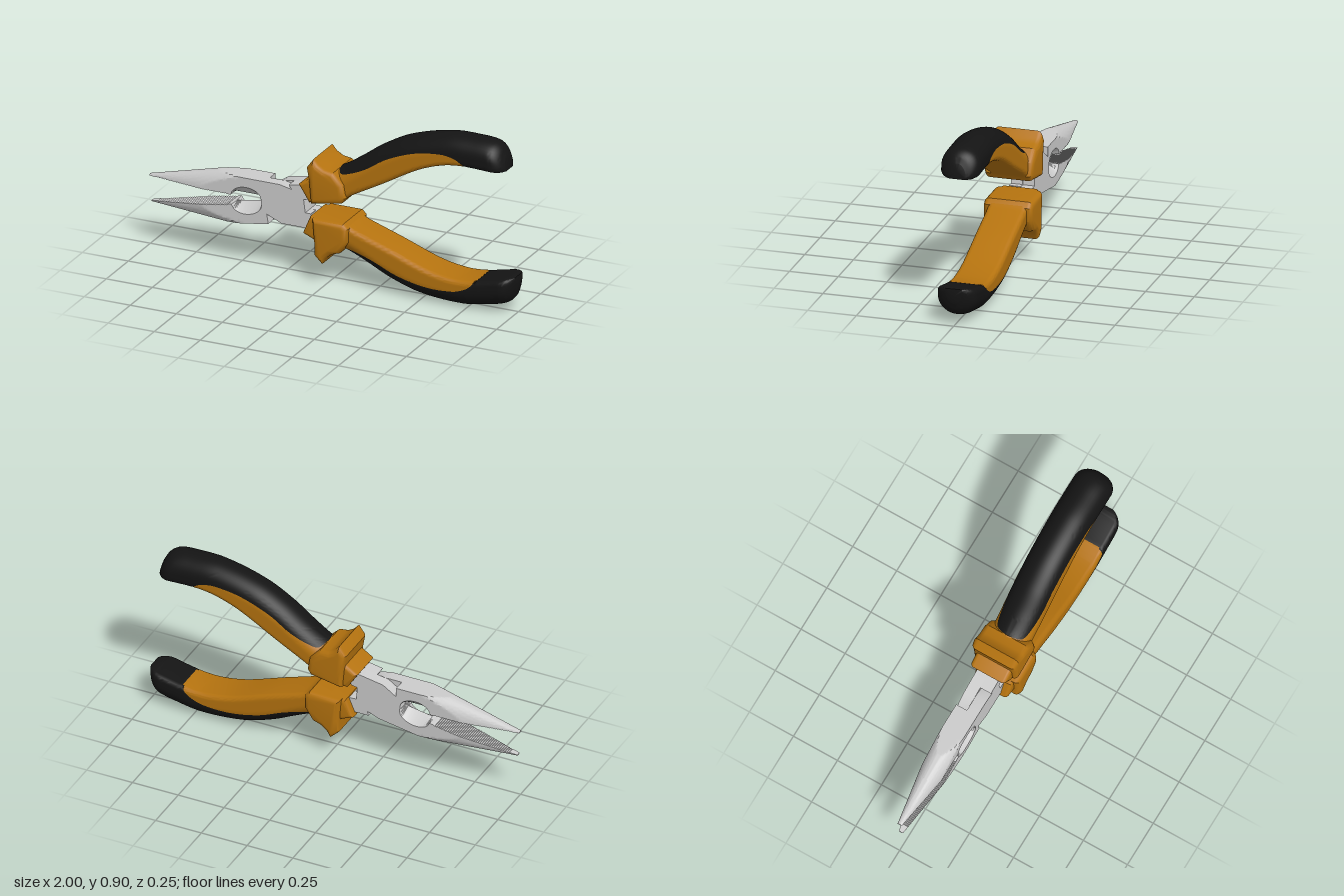
import * as THREE from 'three';
import { toCreasedNormals } from 'three/addons/utils/BufferGeometryUtils.js';

const steel = new THREE.MeshStandardMaterial({ color: 0xcccccc });
const amber = new THREE.MeshStandardMaterial({ color: 0xb5730f });
const black = new THREE.MeshStandardMaterial({ color: 0x141414 });

const AXIS = 0.368;   // closing line of the jaws
const PIVOT = -0.25;
const OPENING = THREE.MathUtils.degToRad(10);

// smooth y(x) through a few points
function spline(p) {
  const slope = i => {
    const a = p[Math.max(0, i - 1)], b = p[Math.min(p.length - 1, i + 1)];
    return (b[1] - a[1]) / (b[0] - a[0]);
  };
  return x => {
    if (x <= p[0][0]) return p[0][1];
    let i = 0;
    while (i < p.length - 1 && p[i + 1][0] < x) i++;
    if (i === p.length - 1) return p[i][1];
    const h = p[i + 1][0] - p[i][0], t = (x - p[i][0]) / h, t2 = t * t, t3 = t2 * t;
    return (2 * t3 - 3 * t2 + 1) * p[i][1] + (t3 - 2 * t2 + t) * h * slope(i)
      + (3 * t2 - 2 * t3) * p[i + 1][1] + (t3 - t2) * h * slope(i + 1);
  };
}

// skin over equal-length loops of [x, y, z], with both ends closed
function loft(loops, crease) {
  const n = loops[0].length, pos = loops.flat(2), index = [];
  for (let i = 0; i < loops.length - 1; i++) {
    for (let j = 0; j < n; j++) {
      const a = i * n + j, b = i * n + (j + 1) % n;
      index.push(a, b, a + n, b, b + n, a + n);
    }
  }
  [0, loops.length - 1].forEach((row, end) => {
    const c = pos.length / 3;
    for (let k = 0; k < 3; k++) pos.push(loops[row].reduce((s, p) => s + p[k], 0) / n);
    for (let j = 0; j < n; j++) {
      const a = row * n + j, b = row * n + (j + 1) % n;
      if (end) index.push(c, a, b); else index.push(c, b, a);
    }
  });
  const g = new THREE.BufferGeometry();
  g.setAttribute('position', new THREE.Float32BufferAttribute(pos, 3));
  g.setIndex(index);
  return toCreasedNormals(g, crease);
}

// side profile given thickness between z0 and z1, with optional rounded rims
function plate(points, z0, z1, bevel = 0) {
  const shape = new THREE.Shape(points.map(p => new THREE.Vector2(...p)));
  const g = new THREE.ExtrudeGeometry(shape, {
    depth: z1 - z0 - 2 * bevel, bevelEnabled: bevel > 0, bevelSize: bevel,
    bevelThickness: bevel, bevelOffset: -bevel, bevelSegments: 5
  });
  g.translate(0, 0, z0 + bevel);
  return toCreasedNormals(g, 0.6);
}

// tapered jaw: a cone clipped by a flat bar, with teeth and a bevelled cutter
function jawGeometry() {
  const xs = [];
  for (let x = -1; x < -0.56; x += 0.005) xs.push(x);
  for (let i = 0; i <= 32; i++) xs.push(-0.555 + 0.205 * i / 32);
  const loops = xs.map((x, i) => {
    const tooth = x > -0.96 && x < -0.56 && i % 2 ? 0.004 : 0;
    const notch = 0.053 * Math.sqrt(Math.max(0, 1 - ((x + 0.452) / 0.082) ** 2));
    const y0 = AXIS + tooth, W = 0.012 + 0.16 * (x + 1), H = 0.008 + 0.25 * (x + 1);
    const loop = [[x, y0, 0]];
    for (let k = 0; k <= 32; k++) {
      const t = Math.PI * k / 32;
      const y = Math.min(0.47, AXIS + H * Math.sin(t));
      loop.push([x, Math.max(y0 + notch, y), -THREE.MathUtils.clamp(W * Math.cos(t), -0.06, 0.06)]);
    }
    return loop;
  });
  return loft(loops, 0.45);
}

// grip outlines: inner edge, outer edge and the line between the two materials
const inner = spline([[0, 0.34], [0.1, 0.335], [0.14, 0.315], [0.33, 0.25], [0.54, 0.176],
  [0.68, 0.152], [0.79, 0.157], [0.975, 0.195], [1, 0.197]]);
const outer = spline([[0, 0.2], [0.1, 0.175], [0.2, 0.132], [0.33, 0.07], [0.49, 0.02],
  [0.71, 0.003], [0.86, 0.025], [0.95, 0.05], [0.985, 0.08], [1, 0.12]]);
const seamLine = spline([[0.08, 0.18], [0.1, 0.2], [0.14, 0.2], [0.25, 0.172], [0.38, 0.118],
  [0.54, 0.085], [0.68, 0.088], [0.74, 0.105], [0.78, 0.13], [0.8, 0.16], [0.82, 0.25]]);
const seam = x => THREE.MathUtils.clamp(x < 0.08 ? 0 : seamLine(x), outer(x), inner(x));

// grip cross-section between two heights: flat inside, half round outside
function gripLoop(x, lo, hi) {
  const bot = outer(x), top = inner(x), r = 0.025, N = 16, side = [];
  const end = x > 0.93 ? Math.sqrt(1 - ((x - 0.93) / 0.08) ** 2) : 1;
  for (let k = 0; k <= N; k++) {
    const y = lo + (hi - lo) * (1 - Math.cos(Math.PI * k / N)) / 2;
    const v = 1 - THREE.MathUtils.clamp((y - bot) / 0.09, 0, 1);
    const u = 1 - THREE.MathUtils.clamp((top - y) / r, 0, 1);
    const w = 0.1 * Math.sqrt(1 - v * v) - r * (1 - Math.sqrt(1 - u * u));
    side.push([x, y, -Math.max(0, w) * end]);
  }
  return [...side, ...side.map(([a, b, c]) => [a, b, -c]).reverse()];
}

function gripGeometry(x0, x1, low, high) {
  const loops = [], N = 80;
  for (let i = 0; i <= N; i++) {
    const x = x0 + (x1 - x0) * (1 - Math.cos(Math.PI * i / N)) / 2;
    loops.push(gripLoop(x, low(x), high(x)));
  }
  return loft(loops, 0.7);
}

// one half of the tool: upper jaw, lapped joint and lower handle
function makeHalf() {
  const half = new THREE.Group();
  const add = (name, geometry, material) => {
    const mesh = new THREE.Mesh(geometry, material);
    mesh.name = name;
    half.add(mesh);
  };
  add('jaw', jawGeometry(), steel);
  add('pivotLap', plate([[-0.37, 0.47], [-0.27, 0.47], [-0.2, 0.455], [-0.14, 0.42], [-0.13, 0.345],
    [-0.1, 0.345], [-0.1, 0.265], [-0.26, 0.265], [-0.34, 0.3], [-0.37, 0.345]], 0.0005, 0.06), steel);
  add('neck', plate([[-0.17, 0.345], [0, 0.335], [0, 0.265], [-0.2, 0.265]], -0.06, 0.06), steel);
  add('collar', plate([[-0.13, 0.25], [-0.06, 0.22], [0, 0.22], [0, 0.345], [-0.09, 0.345]],
    -0.1, 0.1, 0.02), amber);
  add('fingerGuard', plate([[-0.07, 0.345], [-0.06, 0.22], [-0.06, 0.155], [-0.015, 0.112], [0.005, 0.145],
    [0.035, 0.17], [0.08, 0.185], [0.125, 0.25], [0.125, 0.32], [0.1, 0.345]], -0.126, 0.126, 0.028), amber);
  add('gripInner', gripGeometry(0.02, 0.808, seam, inner), amber);
  add('gripOuter', gripGeometry(0.08, 1, outer, seam), black);
  return half;
}

export function createModel() {
  const model = new THREE.Group();
  model.name = 'pliers';
  const first = makeHalf();
  first.name = 'upperJawHalf';

  // second half: the same part turned over and swung open about the pivot
  const turned = makeHalf();
  turned.position.set(-PIVOT, AXIS, 0);
  turned.rotation.x = Math.PI;
  const second = new THREE.Group();
  second.name = 'lowerJawHalf';
  second.position.set(PIVOT, AXIS, 0);
  second.rotation.z = OPENING;
  turned.name = 'turnedHalf';
  turned.position.y = AXIS;
  second.add(turned);

  model.add(first, second);
  return model;
}
